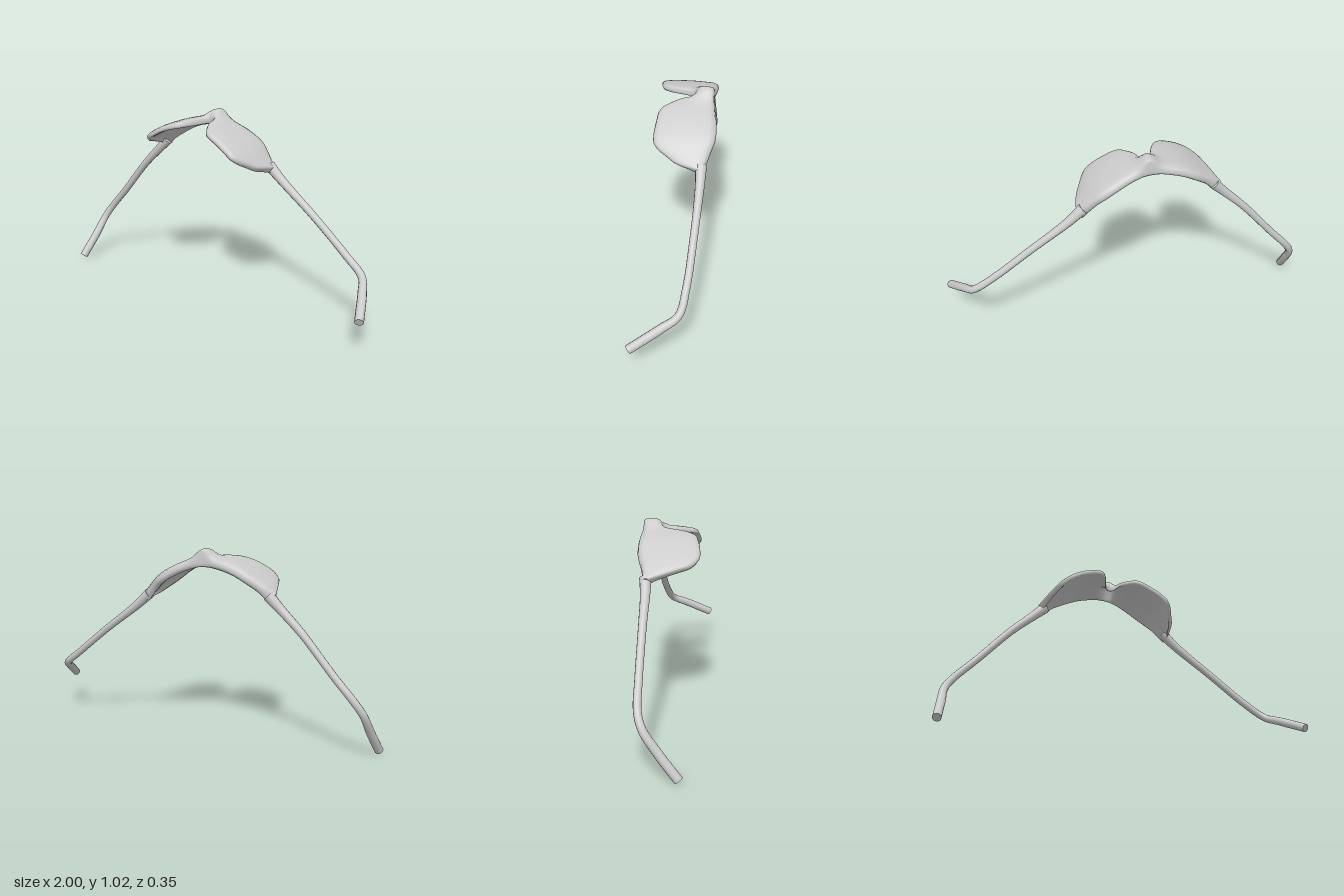
import * as THREE from 'three';

const material = new THREE.MeshStandardMaterial({ color: 0xcccccc, side: THREE.DoubleSide });

// Skin a list of closed rings (same point count) and cap both ends flat.
function loft(name, rings) {
  const n = rings[0].length, pos = [], idx = [];
  rings.forEach(r => r.forEach(p => pos.push(p.x, p.y, p.z)));
  for (let i = 0; i < rings.length - 1; i++) {
    for (let j = 0; j < n; j++) {
      const a = i * n + j, b = i * n + (j + 1) % n;
      idx.push(a, b, b + n, a, b + n, a + n);
    }
  }
  [[rings[0], true], [rings[rings.length - 1], false]].forEach(([ring, flip]) => {
    const s = pos.length / 3;
    const c = ring.reduce((m, p) => m.add(p), new THREE.Vector3()).divideScalar(n);
    [...ring, c].forEach(p => pos.push(p.x, p.y, p.z));
    for (let j = 0; j < n; j++) {
      const a = s + j, b = s + (j + 1) % n;
      idx.push(s + n, flip ? b : a, flip ? a : b);
    }
  });
  const g = new THREE.BufferGeometry();
  g.setAttribute('position', new THREE.Float32BufferAttribute(pos, 3));
  g.setIndex(idx);
  g.computeVertexNormals();
  const mesh = new THREE.Mesh(g, material);
  mesh.name = name;
  return mesh;
}

// Smooth interpolation through [x, value] pairs.
function profile(pts) {
  return x => {
    let i = 0;
    while (i < pts.length - 2 && x > pts[i + 1][0]) i++;
    const at = k => pts[Math.min(Math.max(k, 0), pts.length - 1)];
    const slope = k => (at(k + 1)[1] - at(k - 1)[1]) / (at(k + 1)[0] - at(k - 1)[0]);
    const [x0, y0] = pts[i], [x1, y1] = pts[i + 1];
    const d = x1 - x0, t = THREE.MathUtils.clamp((x - x0) / d, 0, 1);
    return y0 * (1 + 2 * t) * (1 - t) ** 2 + y1 * t * t * (3 - 2 * t)
      + d * t * (1 - t) * (slope(i) * (1 - t) - slope(i + 1) * t);
  };
}

// Arch of the lens front, its brow edge, and the lower lens edge with nose gap.
const arch = profile([[-0.475, 0.815], [-0.42, 0.865], [-0.3, 0.94], [-0.2, 0.975], [-0.08, 0.99],
  [0, 0.972], [0.1, 0.93], [0.2, 0.865], [0.295, 0.765]]);
const brow = profile([[-0.475, -0.115], [-0.42, -0.13], [-0.34, -0.155], [-0.22, -0.16], [-0.1, -0.15],
  [0, -0.16], [0.1, -0.176], [0.18, -0.177], [0.24, -0.155], [0.295, -0.13]]);
const lower = profile([[-0.475, -0.085], [-0.45, 0], [-0.43, 0.06], [-0.41, 0.11], [-0.38, 0.142],
  [-0.35, 0.155], [-0.25, 0.145], [-0.19, 0.13], [-0.16, 0.1], [-0.14, 0.06], [-0.12, 0],
  [-0.105, -0.04], [-0.08, -0.052], [-0.055, -0.035], [-0.04, 0.02], [-0.01, 0.07], [0.03, 0.118],
  [0.1, 0.132], [0.2, 0.135], [0.23, 0.11], [0.26, 0.05], [0.28, 0], [0.295, -0.095]]);

// Section from brow to lower edge and back: [fraction, offset from the arch].
const section = [[0, -0.03], [0.02, -0.01], [0.1, 0], [0.22, 0.002], [0.35, 0.004], [0.5, 0.005], [0.65, 0.004],
  [0.8, 0.002], [0.92, -0.002], [0.98, -0.008], [1, -0.02], [0.98, -0.032], [0.9, -0.03], [0.75, -0.023],
  [0.5, -0.02], [0.32, -0.025], [0.2, -0.043], [0.06, -0.052], [0.015, -0.045]];

function lensFront() {
  const rings = [], steps = 110, x0 = -0.475, x1 = 0.295;
  for (let i = 0; i <= steps; i++) {
    const x = x0 + (x1 - x0) * i / steps;
    const slope = (arch(x + 0.01) - arch(x - 0.01)) / 0.02, len = Math.hypot(1, slope);
    const zb = brow(x), zf = lower(x);
    rings.push(section.map(([u, off]) => {
      const z = zb + (zf - zb) * u;
      // raised crest above the bridge
      const crest = off > -0.03 ? 0.036 * Math.exp(-(((x + 0.08) / 0.05) ** 2))
        * (1 - THREE.MathUtils.smoothstep(z, -0.08, -0.03)) : 0;
      return new THREE.Vector3(x - off * slope / len, arch(x) + off / len + crest, z);
    }));
  }
  return loft('lensFront', rings);
}

// Arm swept along a path, thicker at the hinge and the ear tip.
function temple(name, points) {
  const curve = new THREE.CatmullRomCurve3(points.map(p => new THREE.Vector3(...p)), false, 'centripetal');
  const steps = 48, sides = 12, frames = curve.computeFrenetFrames(steps);
  const radius = profile([[0, 0.03], [0.1, 0.024], [0.3, 0.02], [0.7, 0.02], [0.85, 0.023], [1, 0.023]]);
  const rings = [];
  for (let i = 0; i <= steps; i++) {
    const c = curve.getPointAt(i / steps), r = radius(i / steps);
    rings.push(Array.from({ length: sides }, (_, j) => {
      const a = j / sides * Math.PI * 2;
      return c.clone().addScaledVector(frames.normals[i], r * Math.cos(a))
        .addScaledVector(frames.binormals[i], r * Math.sin(a));
    }));
  }
  return loft(name, rings);
}

export function createModel() {
  const group = new THREE.Group();
  group.name = 'sunglasses';
  group.add(
    lensFront(),
    temple('leftTemple', [[0.26, 0.77, -0.115], [0.34, 0.7, -0.117], [0.55, 0.545, -0.11],
      [0.75, 0.39, -0.095], [0.86, 0.31, -0.07], [0.91, 0.265, 0.01], [0.98, 0.182, 0.158]]),
    temple('rightTemple', [[-0.44, 0.81, -0.105], [-0.5, 0.75, -0.1], [-0.62, 0.635, -0.1],
      [-0.8, 0.43, -0.1], [-0.9, 0.32, -0.095], [-0.943, 0.25, -0.07], [-0.962, 0.14, 0.005],
      [-0.982, 0.022, 0.098]])
  );
  return group;
}
